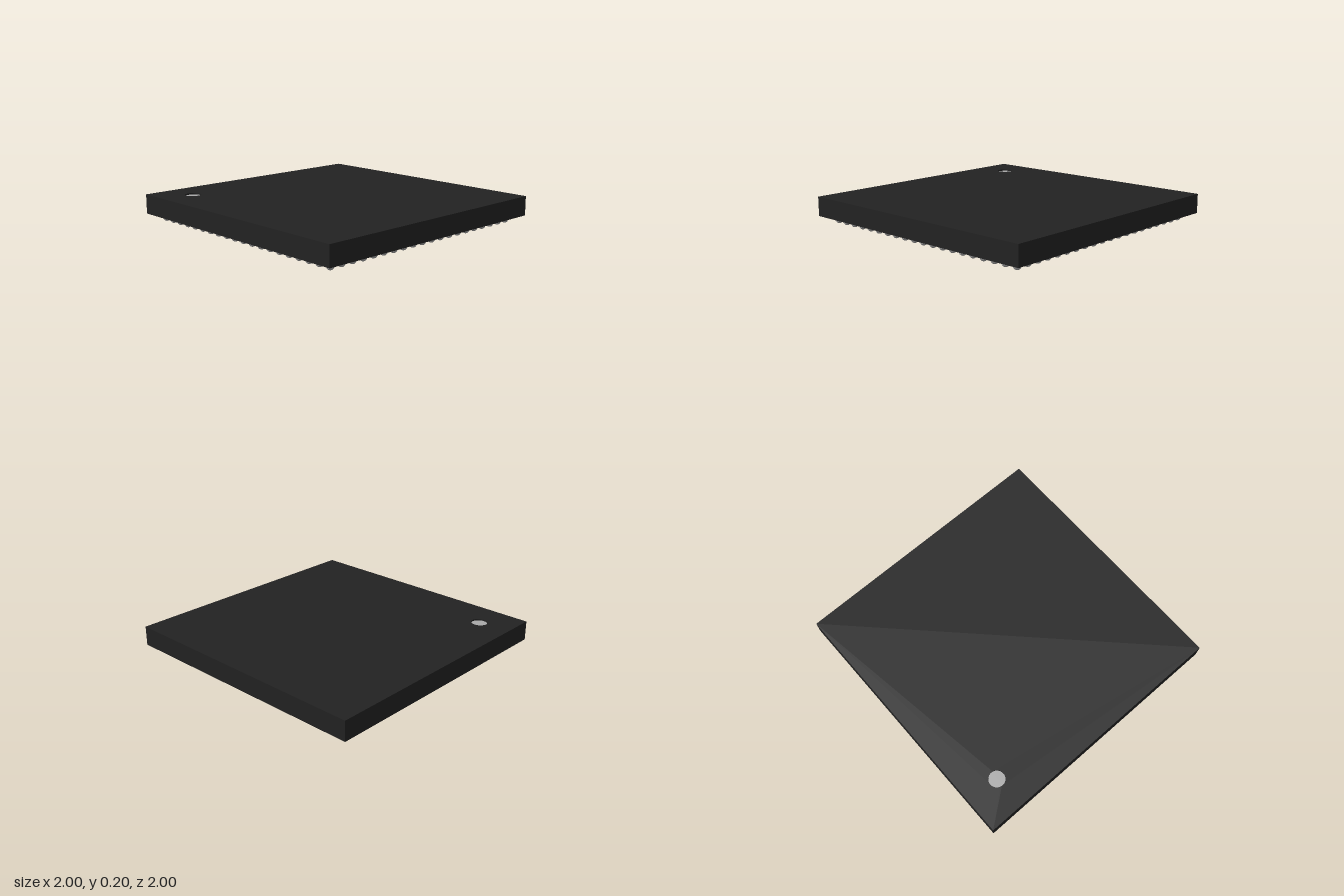
import * as THREE from 'three';
import { mergeGeometries } from 'three/addons/utils/BufferGeometryUtils.js';

const BOTTOM = 0.055, TOP = 0.202, RECESS = 0.012;
const DOT = { x: -0.75, z: -0.75, r: 0.06 };
const GRID = 20, REACH = 0.894, BALL_R = 0.0275;

export function createModel() {
  const group = new THREE.Group();
  const black = new THREE.MeshStandardMaterial({ color: 0x222222 });
  black.name = 'black plastic';
  const silver = new THREE.MeshStandardMaterial({ color: 0xaaaaaa });
  silver.name = 'silver metal';

  const add = (name, geometry, material) => {
    const mesh = new THREE.Mesh(geometry, material);
    mesh.name = name;
    group.add(mesh);
    return mesh;
  };

  // Main slab, up to the floor of the marker recess
  const floor = TOP - RECESS;
  add('packageBody', new THREE.BoxGeometry(2, floor - BOTTOM, 2), black)
    .position.y = (floor + BOTTOM) / 2;

  // Thin top layer pierced by the round recess (shape y becomes -z)
  const square = new THREE.Shape([[-1, -1], [1, -1], [1, 1], [-1, 1]]
    .map(([x, y]) => new THREE.Vector2(x, y)));
  square.holes.push(new THREE.Path().absarc(DOT.x, -DOT.z, DOT.r, 0, Math.PI * 2, true));
  const layer = new THREE.ExtrudeGeometry(square, { depth: RECESS, bevelEnabled: false, curveSegments: 32 });
  layer.rotateX(-Math.PI / 2);
  add('packageTop', layer, black).position.y = floor;

  // Corner marker at the bottom of the recess
  const disc = new THREE.CircleGeometry(DOT.r, 32).rotateX(-Math.PI / 2);
  add('cornerMarker', disc, silver).position.set(DOT.x, floor + 0.001, DOT.z);

  // Square grid of solder balls underneath
  const ball = new THREE.SphereGeometry(BALL_R, 14, 10);
  const at = (i) => -REACH + (2 * REACH * i) / (GRID - 1);
  const balls = [];
  for (let i = 0; i < GRID; i++) {
    for (let j = 0; j < GRID; j++) balls.push(ball.clone().translate(at(i), BALL_R, at(j)));
  }
  add('solderBalls', mergeGeometries(balls), silver);

  return group;
}
